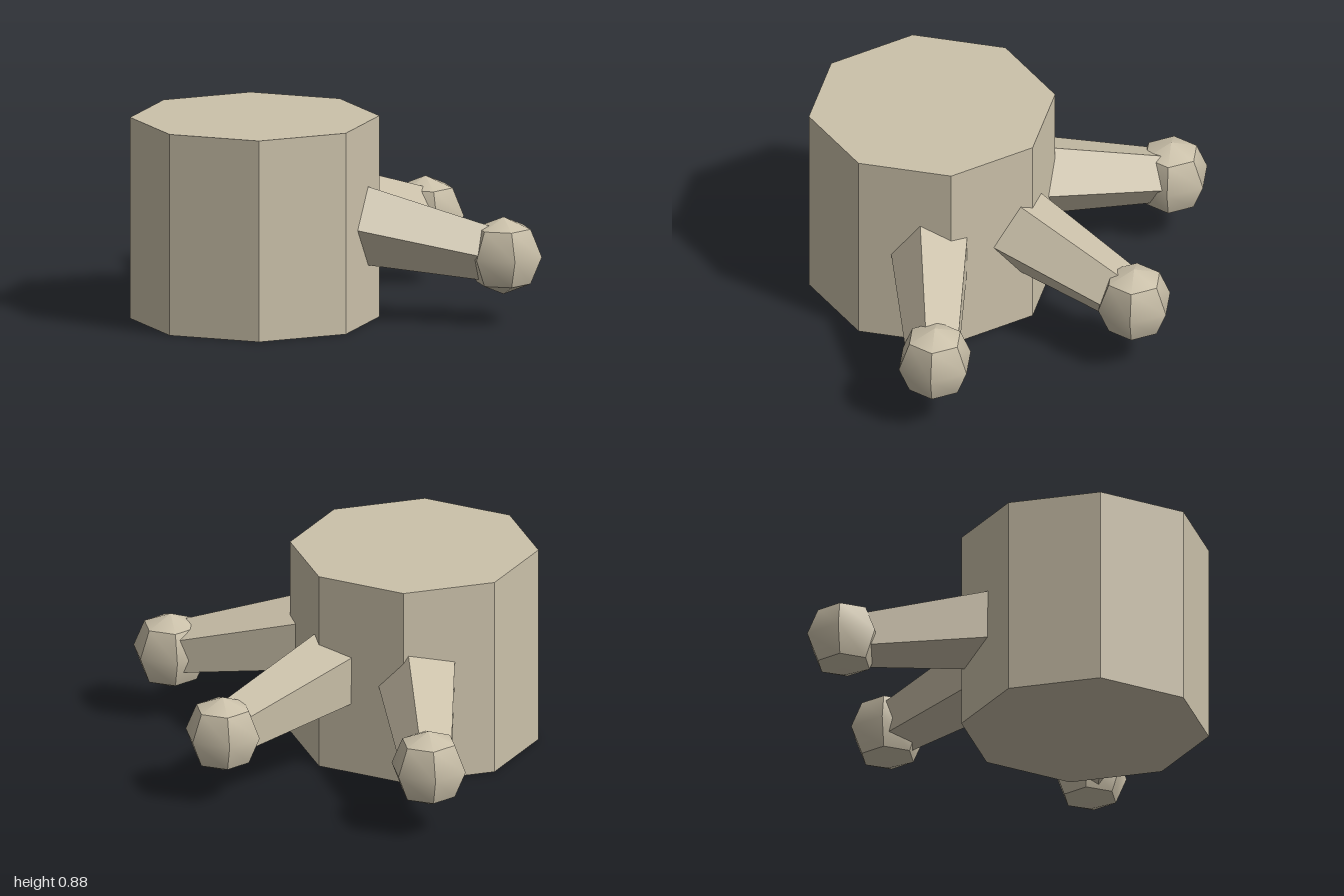
import * as THREE from 'three';
import { toCreasedNormals } from 'three/addons/utils/BufferGeometryUtils.js';

const CREASE = 0.735; // keeps facets sharp, softens only the knob caps and waists

export function createModel() {
  const model = new THREE.Group();
  model.name = 'drumWithArms';

  const tan = new THREE.MeshStandardMaterial({ color: 0xcbc1aa });
  tan.name = 'tan';

  const add = (name, geometry) => {
    const mesh = new THREE.Mesh(toCreasedNormals(geometry, CREASE), tan);
    mesh.name = name;
    model.add(mesh);
    return mesh;
  };

  // Eight-sided drum body
  const bodyZ = 0.35;
  const bodyHeight = 0.875;
  add('body', new THREE.CylinderGeometry(0.532, 0.532, bodyHeight, 8))
    .position.set(0, bodyHeight / 2, bodyZ);

  // Three tapered five-sided arms fan out behind the body, each ending in a knob
  const reach = 1.068;
  const rootY = 0.522;
  const knobY = 0.294;
  const drop = rootY - knobY;
  const length = Math.hypot(reach, drop);
  const arms = [['left', -0.929], ['back', 0], ['right', 0.929]];

  for (const [side, angle] of arms) {
    const arm = new THREE.CylinderGeometry(0.118, 0.226, length, 5, 1, false, Math.PI / 10);
    arm.translate(0, length / 2, 0);
    arm.rotateX(-Math.PI / 2 - Math.atan2(drop, reach));
    arm.rotateY(angle);
    add(side + 'Arm', arm).position.set(0, rootY, bodyZ);

    // Knobs all keep the same heading, with a corner facing front
    const knob = new THREE.SphereGeometry(0.168, 6, 4);
    knob.rotateY(Math.PI / 2);
    add(side + 'Knob', knob).position.set(
      -Math.sin(angle) * reach, knobY, bodyZ - Math.cos(angle) * reach);
  }

  return model;
}
